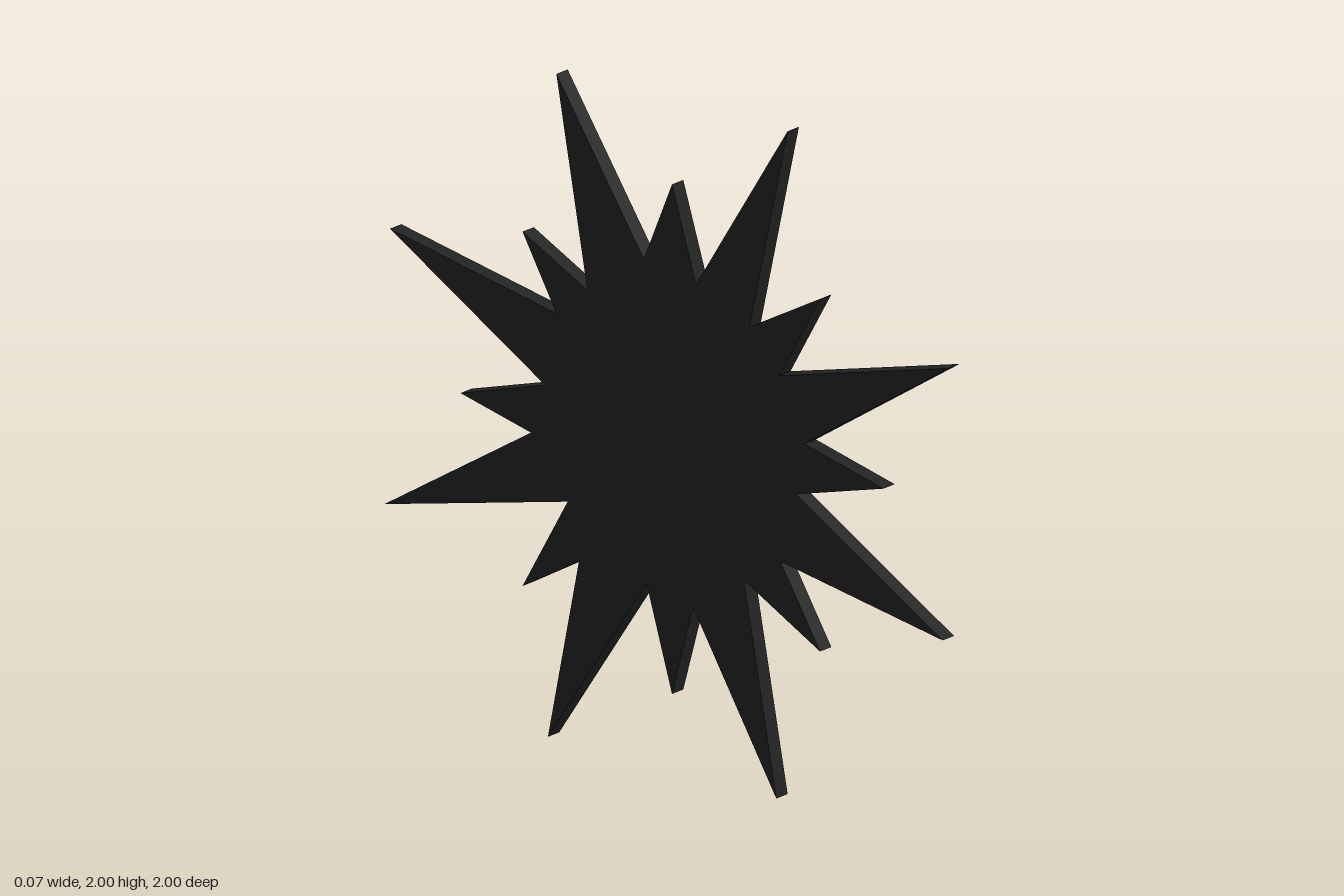
import * as THREE from 'three';

// Starburst outline as [z, y], alternating spike tips and valleys
const OUTLINE = [
  [0.02, 1.75], [-0.08, 1.51], [-0.39, 2.0], [-0.28, 1.38],
  [-0.51, 1.51], [-0.39, 1.29], [-0.98, 1.43], [-0.43, 1.07],
  [-0.73, 0.99], [-0.48, 0.92], [-1.0, 0.61], [-0.35, 0.74],
  [-0.51, 0.46], [-0.31, 0.57], [-0.42, 0.03], [-0.07, 0.55],
  [0.02, 0.24], [0.095, 0.51], [0.39, 0], [0.275, 0.625],
  [0.545, 0.465], [0.405, 0.705], [0.98, 0.58], [0.46, 0.915],
  [0.77, 0.99], [0.49, 1.07], [1.0, 1.39], [0.4, 1.255],
  [0.545, 1.51], [0.295, 1.38], [0.43, 1.985], [0.105, 1.47],
];

export function createModel() {
  const group = new THREE.Group();
  group.name = 'starburst';
  const black = new THREE.MeshStandardMaterial({ color: 0x222222 });
  black.name = 'matte black';

  // Flat spiked plate, extruded along x
  const shape = new THREE.Shape(OUTLINE.map(([z, y]) => new THREE.Vector2(-z, y)));
  const plateGeometry = new THREE.ExtrudeGeometry(shape, { depth: 0.053, bevelEnabled: false });
  plateGeometry.rotateY(Math.PI / 2).translate(-0.034, 0, 0);
  const plate = new THREE.Mesh(plateGeometry, black);
  plate.name = 'spikedPlate';
  group.add(plate);

  // Raised round centre on the +x face
  const discGeometry = new THREE.CylinderGeometry(0.328, 0.328, 0.034, 64);
  discGeometry.rotateZ(-Math.PI / 2);
  const disc = new THREE.Mesh(discGeometry, black);
  disc.name = 'centreDisc';
  disc.position.set(0.017, 1.005, 0.02);
  group.add(disc);

  return group;
}
